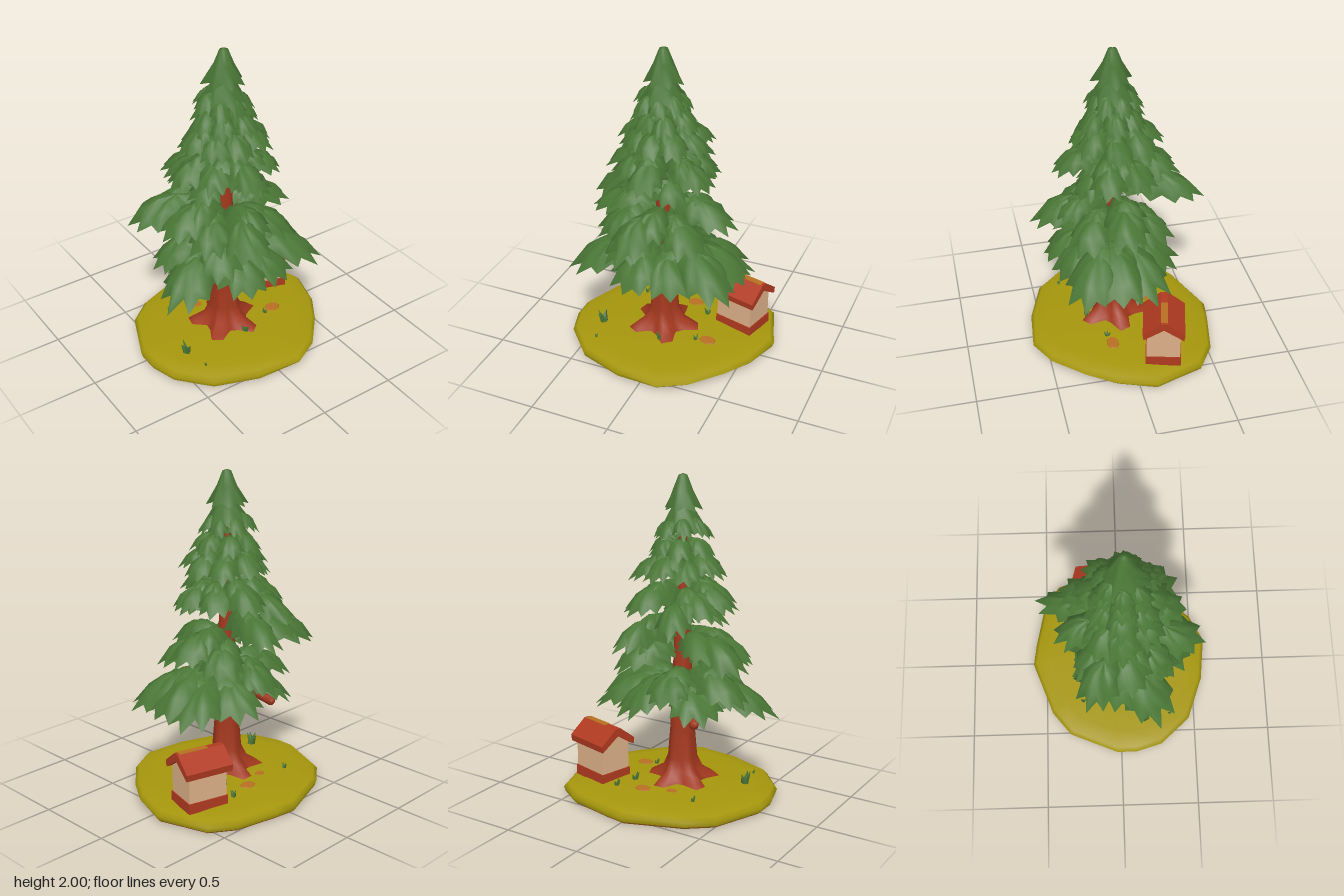
import * as THREE from 'three';

const mat = (name, color) => {
  const m = new THREE.MeshStandardMaterial({ color });
  m.name = name;
  return m;
};

// Small seeded random
let seed = 7;
const rnd = () => {
  seed = (seed * 16807) % 2147483647;
  return seed / 2147483647;
};

// Skins a list of closed rings, ordered from the top outwards and down
function loft(rings) {
  const n = rings[0].length, pos = rings.flat(2), idx = [];
  for (let k = 0; k < rings.length - 1; k++) {
    for (let j = 0; j < n; j++) {
      const a = k * n + j, b = k * n + (j + 1) % n;
      idx.push(a, b, a + n, b, b + n, a + n);
    }
  }
  const g = new THREE.BufferGeometry();
  g.setAttribute('position', new THREE.Float32BufferAttribute(pos, 3));
  g.setIndex(idx);
  g.computeVertexNormals();
  return g;
}

const ring = (n, f) => Array.from({ length: n }, (_, i) => f((i / n) * Math.PI * 2, i));

// Jagged drooping needle pad, growing along +x from the origin
function padGeometry(len, width, drop) {
  const n = 22, h = 0.16 * len + 0.03;
  const teeth = ring(n, (a, i) => (i % 2 ? 0.72 + 0.14 * rnd() : 0.94 + 0.16 * rnd()));
  const fold = ring(n, () => (rnd() - 0.5) * 0.5 * h);
  const level = (s, under) => ring(n, (a, i) => {
    const f = s === 1 ? teeth[i] : s * 0.94;
    const t = 0.5 + 0.5 * Math.cos(a) * f;
    const z = 0.5 * width * Math.sin(a) * f * (0.8 + 0.25 * Math.cos(a));
    const tooth = s === 1 ? (i % 2 ? 0.05 : -0.22) * h : fold[i] * s;
    const y = -drop * t * t + h * (1 - s ** 2.4) - under * (1 - s) * 0.85 * h + tooth;
    return [t * len, y, z];
  });
  return loft([level(0.01, 0), level(0.4, 0), level(0.75, 0), level(1, 0),
    level(1, 1), level(0.65, 1), level(0.01, 1)]);
}

// Jagged cone-shaped skirt around the stem
function skirtGeometry(top, bottom, r) {
  const n = 14, H = top - bottom;
  const jag = ring(n, (a, i) => (i % 2 ? 0.75 : 0.95 + 0.35 * rnd()));
  const level = (s, y) => ring(n, (a, i) => {
    const q = r * s * (s === 1 ? jag[i] : 1);
    return [Math.cos(a) * q, y - (s === 1 && i % 2 === 0 ? 0.12 * H : 0), Math.sin(a) * q];
  });
  return loft([level(0.01, top), level(0.24, top - 0.05 * H), level(0.55, top - 0.5 * H),
    level(1, bottom), level(1, bottom), level(0.4, bottom + 0.12 * H), level(0, bottom + 0.15 * H)]);
}

// Straight prism with its profile in z/y, running along x
function prism(points, len) {
  const s = new THREE.Shape(points.map(p => new THREE.Vector2(p[0], p[1])));
  return new THREE.ExtrudeGeometry(s, { depth: len, bevelEnabled: false })
    .translate(0, 0, -len / 2).rotateY(Math.PI / 2);
}

export function createModel() {
  seed = 7;
  const needles = mat('needle green', 0x4a7636), bark = mat('bark red', 0xa2371d);
  const moss = mat('moss', 0xa5960c), soil = mat('soil', 0xb86f22);
  const plaster = mat('plaster', 0xdcb088), tiles = mat('roof red', 0xb03a20);
  const model = new THREE.Group();
  const add = (name, geo, m, parent = model) => {
    const mesh = new THREE.Mesh(geo, m);
    mesh.name = name;
    parent.add(mesh);
    return mesh;
  };

  // Island, with the soil showing higher on the front left of the rim
  const outline = [[0.65, -0.1], [0.58, 0.14], [0.47, 0.31], [0.3, 0.5], [0.13, 0.59],
    [-0.15, 0.56], [-0.43, 0.46], [-0.6, 0.27], [-0.65, 0.1], [-0.65, -0.03], [-0.52, -0.34],
    [-0.37, -0.46], [-0.02, -0.59], [0.12, -0.57], [0.4, -0.51], [0.55, -0.41], [0.6, -0.25]];
  const slab = (s, y, worn = 0, cut = 0) => outline.map(([x, z]) => {
    const bare = Math.min(1, Math.max(0, (x + z - 0.62) / 0.14));
    return [x * (s - cut * bare), y + worn * bare, z * (s - cut * bare)];
  });
  add('mossyGround', loft([slab(0, 0.1), slab(0.45, 0.095), slab(0.8, 0.085), slab(0.96, 0.072),
    slab(1, 0.045), slab(0.985, 0.014, 0.024)]), moss);
  add('soilUnderside', loft([slab(0.985, 0.014, 0.024), slab(0.96, 0, 0, 0.08),
    slab(0.96, 0, 0, 0.08), slab(0, 0)]), soil);

  // Bare soil patches
  for (const [x, z, r] of [[0.05, -0.26, 0.055], [0.27, 0.1, 0.055], [-0.12, -0.2, 0.035]]) {
    const p = add('soilPatch', new THREE.CylinderGeometry(r * 0.9, r, 0.008, 9), soil);
    p.position.set(x, 0.095, z);
    p.scale.z = 0.75;
  }

  // Grass tufts
  for (const [x, z, h] of [[-0.43, 0.16, 0.085], [-0.01, 0.2, 0.07], [0.17, -0.17, 0.06], [0.2, 0.12, 0.045],
    [-0.3, -0.25, 0.04], [0.22, -0.3, 0.05], [-0.4, 0.33, 0.025]]) {
    const tuft = new THREE.Group();
    tuft.name = 'grassTuft';
    tuft.position.set(x, 0.085, z);
    for (let i = 0; i < 4; i++) {
      const blade = add('grassBlade', new THREE.ConeGeometry(0.3 * h, h, 4).translate(0, h / 2, 0), needles, tuft);
      blade.rotation.set(0.5 * Math.cos(i * 1.6), i, 0.5 * Math.sin(i * 1.6));
    }
    model.add(tuft);
  }

  // Tree
  const tree = new THREE.Group();
  tree.name = 'tree';
  tree.position.set(-0.055, 0, 0.025);
  model.add(tree);

  // Trunk with flared roots: height, radius, root depth
  const trunkRings = [[1.9, 0.012, 0], [1.5, 0.03, 0], [1.1, 0.048, 0], [0.7, 0.064, 0.02], [0.42, 0.076, 0.04],
    [0.24, 0.088, 0.08], [0.16, 0.115, 0.18], [0.115, 0.165, 0.3], [0.08, 0.2, 0.34]];
  add('trunk', loft(trunkRings.map(([y, r, k]) => ring(20, a => {
    const q = r * (1 + k * Math.cos(5 * a + 0.6));
    return [Math.cos(a) * q, y, Math.sin(a) * q];
  }))), bark, tree);

  // One bough; heading in degrees from +x towards +z
  function addBough(deg, y, drop, len, width) {
    const bough = new THREE.Group();
    bough.name = 'bough';
    bough.position.y = y + (rnd() - 0.5) * 0.04;
    bough.rotation.y = -deg * Math.PI / 180;
    add('needlePad', padGeometry(len, width, drop), needles, bough);
    if (len > 0.29) {
      const upper = add('upperNeedlePad', padGeometry(len * 0.72, width * 0.8, drop * 0.6), needles, bough);
      upper.position.set(0.04 * len, 0.025 + 0.03 * len, 0);
      upper.rotation.y = (rnd() - 0.5) * 0.7;
    }
    tree.add(bough);
  }

  // Lower tiers, irregular: each arm is heading, length
  const tier = (y, drop, width, ...arms) => arms.forEach(([deg, len]) => addBough(deg, y, drop, len, width));
  tier(0.67, 0.1, 0.4, [158, 0.58], [102, 0.45], [62, 0.44], [28, 0.6], [6, 0.57], [-16, 0.55], [-55, 0.42], [-140, 0.4]);
  tier(0.75, 0.09, 0.34, [188, 0.48], [130, 0.42], [-100, 0.36]);
  tier(0.9, 0.07, 0.34, [100, 0.5], [42, 0.42], [-38, 0.43], [140, 0.42]);
  tier(0.97, 0.05, 0.34, [-156, 0.59], [-4, 0.46], [175, 0.46]);
  tier(1.06, 0.03, 0.27, [-75, 0.54]);
  tier(1.17, 0.05, 0.27, [-112, 0.44], [55, 0.3], [160, 0.28]);
  tier(1.26, 0.05, 0.28, [182, 0.37], [140, 0.32], [92, 0.37], [18, 0.36], [-28, 0.34], [-70, 0.4], [-150, 0.36]);

  // Upper tiers, evenly spread: count, height, drop, length, width
  for (const [count, y, drop, len, width] of [[8, 1.46, 0.05, 0.285, 0.24], [6, 1.56, 0.05, 0.21, 0.2],
    [7, 1.68, 0.05, 0.175, 0.16]]) {
    for (let i = 0; i < count; i++) {
      addBough(185 + i * 360 / count, y, drop, len * (0.92 + 0.2 * rnd()), width);
    }
  }

  // Broken lower limb
  const limb = new THREE.CatmullRomCurve3([new THREE.Vector3(0, 0.68, 0), new THREE.Vector3(-0.1, 0.62, -0.09),
    new THREE.Vector3(-0.2, 0.54, -0.19)]);
  add('lowerLimb', new THREE.TubeGeometry(limb, 8, 0.03, 8), bark, tree);
  const limbEnd = add('lowerLimbEnd', new THREE.SphereGeometry(0.03, 8, 6), bark, tree);
  limbEnd.position.set(-0.2, 0.54, -0.19);

  // Crown
  add('crownTip', skirtGeometry(2, 1.81, 0.108), needles, tree);
  add('crownSkirt', skirtGeometry(1.88, 1.7, 0.13), needles, tree);

  // Hut
  const hut = new THREE.Group();
  hut.name = 'hut';
  hut.position.set(0.4, 0, -0.195);
  hut.rotation.y = -0.26;
  model.add(hut);
  add('hutBase', new THREE.BoxGeometry(0.262, 0.065, 0.22).translate(0, 0.113, 0), tiles, hut);
  add('hutWalls', prism([[-0.104, 0.1], [0.104, 0.1], [0.104, 0.315], [0, 0.39], [-0.104, 0.315]], 0.25), plaster, hut);
  add('hutRoof', prism([[-0.13, 0.345], [-0.124, 0.303], [0, 0.385], [0.124, 0.303], [0.13, 0.345],
    [0.02, 0.432], [-0.02, 0.432]], 0.31), tiles, hut);
  // Worn strip along the ridge
  add('wornRidge', new THREE.BoxGeometry(0.19, 0.006, 0.042).translate(0.045, 0.432, 0), soil, hut);
  return model;
}
